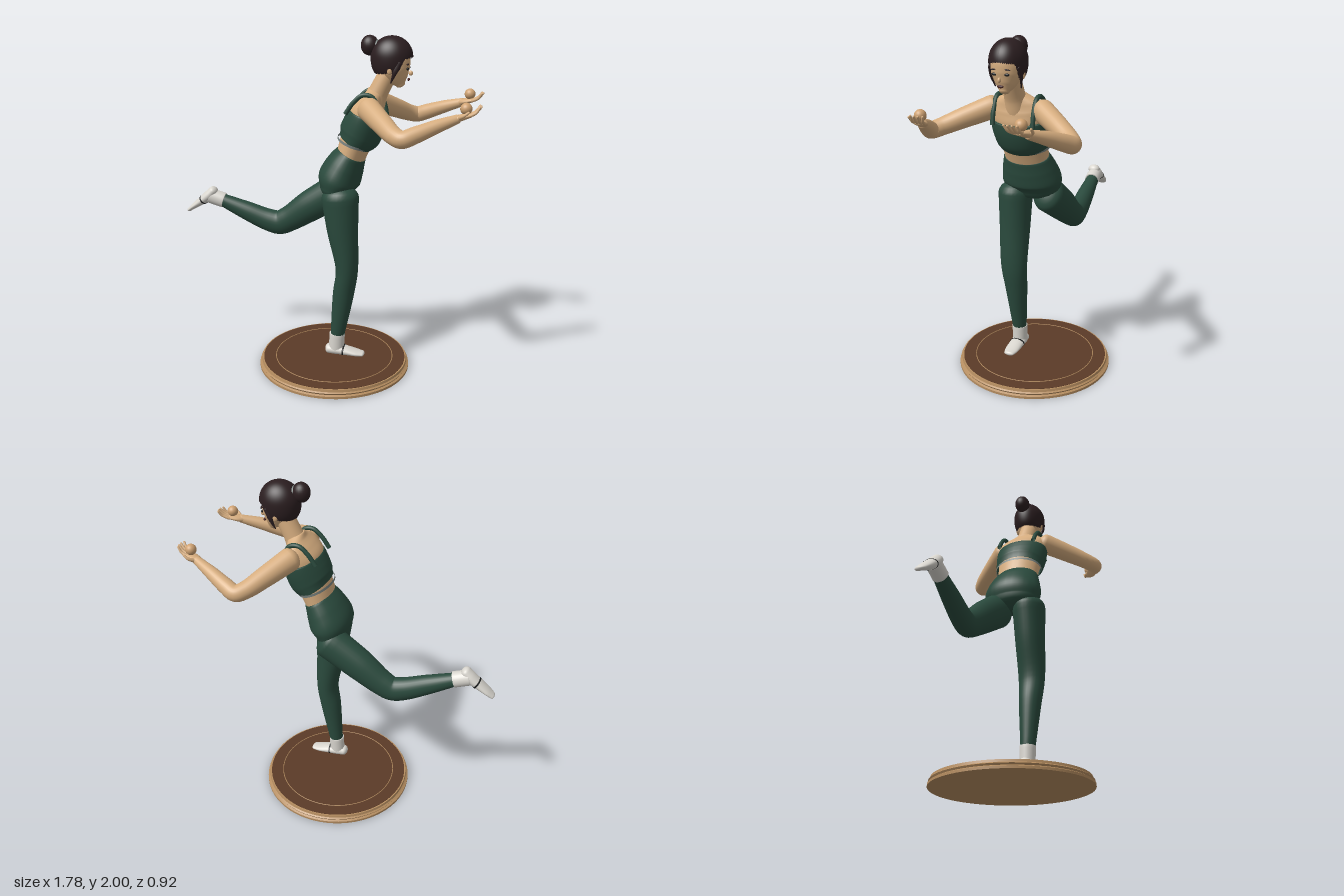
import * as THREE from 'three';

const mat = (name, color, side = THREE.FrontSide) => {
  const m = new THREE.MeshStandardMaterial({ color, side });
  m.name = name;
  return m;
};

// Smooth skin over elliptical sections [x, y, z, a, b]; b is the half width towards z.
// capA and capB give the roundness of each end (0 leaves it flat and open).
function loft(sections, capA = 0, capB = 0, sides = 28) {
  const centre = new THREE.CatmullRomCurve3(sections.map(s => new THREE.Vector3(s[0], s[1], s[2])));
  const size = new THREE.CatmullRomCurve3(sections.map(s => new THREE.Vector3(s[3], s[4], 0)));
  const steps = (sections.length - 1) * 6;
  const rings = [];
  const addRing = (t, shrink, shift) => {
    const tan = centre.getTangent(t);
    const r = size.getPoint(t);
    const b = new THREE.Vector3(0, 0, 1).addScaledVector(tan, -tan.z).normalize();
    const n = new THREE.Vector3().crossVectors(b, tan);
    const c = centre.getPoint(t).addScaledVector(tan, shift * Math.min(r.x, r.y));
    rings.push({ c, n, b, p: r.x * shrink, q: r.y * shrink });
  };
  const K = 6;
  if (capA) for (let k = K; k > 0; k--) {
    const w = k / K * Math.PI / 2;
    addRing(0, Math.cos(w), -capA * Math.sin(w));
  }
  for (let i = 0; i <= steps; i++) addRing(i / steps, 1, 0);
  if (capB) for (let k = 1; k <= K; k++) {
    const w = k / K * Math.PI / 2;
    addRing(1, Math.cos(w), capB * Math.sin(w));
  }
  const pos = [], idx = [];
  rings.forEach(({ c, n, b, p, q }, i) => {
    for (let j = 0; j < sides; j++) {
      const w = j / sides * Math.PI * 2;
      const v = c.clone().addScaledVector(n, p * Math.cos(w)).addScaledVector(b, q * Math.sin(w));
      pos.push(v.x, v.y, v.z);
      if (i + 1 < rings.length) {
        const k = (j + 1) % sides, A = i * sides, B = A + sides;
        idx.push(A + j, A + k, B + k, A + j, B + k, B + j);
      }
    }
  });
  const g = new THREE.BufferGeometry();
  g.setAttribute('position', new THREE.Float32BufferAttribute(pos, 3));
  g.setIndex(idx);
  g.computeVertexNormals();
  return g;
}

// Cap of hair whose lower edge is high over the face and low at the nape.
function hairCap() {
  const g = new THREE.SphereGeometry(1, 64, 32);
  const p = g.attributes.position, uv = g.attributes.uv;
  for (let i = 0; i < p.count; i++) {
    const ang = uv.getX(i) * Math.PI * 2, c = Math.cos(ang);
    const side = 1 - THREE.MathUtils.smoothstep(c, 0.38, 0.72);
    const edge = THREE.MathUtils.degToRad(90 + 6 * Math.abs(Math.sin(ang)) + 42 * side + 10 * Math.max(0, -c));
    const th = (1 - uv.getY(i)) * edge;
    const r = th > Math.PI / 2 ? Math.sqrt(Math.sin(th)) : Math.sin(th);
    p.setXYZ(i, 0.117 * r * c, 0.115 * Math.cos(th), -0.1 * r * Math.sin(ang));
  }
  g.computeVertexNormals();
  return g;
}

export function createModel() {
  const root = new THREE.Group();
  const skin = mat('skin', 0xd6ad7f), green = mat('green fabric', 0x2a4a3d, THREE.DoubleSide);
  const hair = mat('hair', 0x2b1e20, THREE.DoubleSide), white = mat('white shoe', 0xd9d6cf, THREE.DoubleSide);
  const black = mat('black', 0x1b1d1e, THREE.DoubleSide), grey = mat('grey trim', 0x7b8582, THREE.DoubleSide);
  const brown = mat('dark wood', 0x5b3b27), wood = mat('light wood', 0xb58d60);
  const lipRed = mat('lips', 0x4a2522), ballTan = mat('ball', 0xcfa272);

  const add = (name, geo, material, parent = root) => {
    const m = new THREE.Mesh(geo, material);
    m.name = name;
    parent.add(m);
    return m;
  };
  const blob = (name, material, x, y, z, rx, ry, rz) => {
    const m = add(name, new THREE.SphereGeometry(1, 24, 16), material);
    m.position.set(x, y, z);
    m.scale.set(rx, ry, rz);
    return m;
  };

  // Round base with stepped rim, dark top and inlaid ring
  const base = new THREE.Group();
  base.name = 'base';
  base.position.x = 0.07;
  root.add(base);
  const rim = [[0, 0], [0.46, 0], [0.46, 0.014], [0.449, 0.02], [0.455, 0.03], [0.447, 0.036], [0.444, 0.05], [0.43, 0.05]];
  // Doubled points keep the rim edges crisp
  const rimPts = rim.flatMap(([x, y]) => [new THREE.Vector2(x, y), new THREE.Vector2(x, y + 1e-5)]);
  add('baseRim', new THREE.LatheGeometry(rimPts, 80), wood, base);
  add('baseTop', new THREE.CylinderGeometry(0.436, 0.436, 0.02, 80), brown, base).position.y = 0.042;
  const inlay = add('baseInlay', new THREE.TorusGeometry(0.36, 0.0025, 6, 80), wood, base);
  inlay.rotation.x = Math.PI / 2;
  inlay.position.y = 0.052;

  // Legs and hips
  add('pelvis', loft([[0.085, 1.13, 0, 0.1, 0.165], [0.1, 1.19, 0, 0.124, 0.178],
    [0.135, 1.27, 0, 0.11, 0.16], [0.17, 1.335, 0, 0.086, 0.137]], 0.6, 0.05), green);
  add('standingLeg', loft([[0.12, 1.09, 0.095, 0.108, 0.098], [0.135, 0.9, 0.094, 0.091, 0.09],
    [0.162, 0.65, 0.09, 0.065, 0.079], [0.142, 0.5, 0.086, 0.063, 0.066],
    [0.107, 0.23, 0.083, 0.042, 0.042]], 0.75, 0.05), green);
  add('raisedLeg', loft([[0.08, 1.09, -0.095, 0.105, 0.09], [-0.1, 0.975, -0.103, 0.096, 0.083],
    [-0.23, 0.885, -0.11, 0.08, 0.068], [-0.3, 0.852, -0.111, 0.075, 0.061], [-0.37, 0.864, -0.108, 0.07, 0.058],
    [-0.5, 0.915, -0.1, 0.059, 0.052], [-0.67, 0.985, -0.09, 0.038, 0.038]], 0.7, 0.05), green);

  // Shoes with ankle cuffs and straps
  add('standingSock', loft([[0.1, 0.13, 0.083, 0.046, 0.043], [0.105, 0.235, 0.083, 0.047, 0.046]], 0.1, 0.05), white);
  add('raisedSock', loft([[-0.735, 1.005, -0.083, 0.047, 0.044], [-0.65, 0.978, -0.09, 0.047, 0.046]], 0.3, 0.05), white);
  const foot = (name, x, y, z, turn) => {
    const f = new THREE.Group();
    f.name = name;
    f.position.set(x, y, z);
    f.rotation.z = turn;
    root.add(f);
    add('shoe', loft([[-0.045, 0.03, 0, 0.029, 0.037], [0, 0.032, 0, 0.032, 0.044], [0.06, 0.026, 0, 0.026, 0.044],
      [0.12, 0.018, 0, 0.018, 0.042], [0.16, 0.014, 0, 0.013, 0.032]], 0.8, 1), white, f);
    add('shoeStrap', loft([[0.04, 0.029, 0, 0.03, 0.047], [0.05, 0.028, 0, 0.029, 0.047]]), black, f);
  };
  foot('standingFoot', 0.1, 0.1, 0.083, 0);
  foot('raisedFoot', -0.765, 1.03, -0.08, THREE.MathUtils.degToRad(223));

  // Torso, top and neck
  add('torso', loft([[0.16, 1.31, 0, 0.083, 0.13], [0.195, 1.41, 0, 0.092, 0.135], [0.235, 1.5, 0, 0.1, 0.15],
    [0.255, 1.57, 0, 0.102, 0.16], [0.275, 1.625, 0, 0.078, 0.16], [0.29, 1.665, 0, 0.055, 0.125],
    [0.3, 1.7, 0, 0.045, 0.055]], 0.05, 0.1), skin);
  add('cropTop', loft([[0.188, 1.405, 0, 0.1, 0.147], [0.215, 1.45, 0, 0.122, 0.158], [0.24, 1.51, 0, 0.121, 0.166],
    [0.257, 1.565, 0, 0.109, 0.167], [0.258, 1.568, 0, 0.09, 0.14]]), green);
  add('topBand', loft([[0.185, 1.395, 0, 0.103, 0.149], [0.19, 1.409, 0, 0.105, 0.151]]), grey);
  add('neck', loft([[0.285, 1.62, 0, 0.07, 0.068], [0.315, 1.69, 0, 0.056, 0.058], [0.375, 1.81, 0, 0.052, 0.055]]), skin);

  // Head and face
  add('head', loft([[0.437, 1.735, 0, 0.026, 0.028], [0.424, 1.765, 0, 0.056, 0.053], [0.408, 1.81, 0, 0.082, 0.078],
    [0.395, 1.87, 0, 0.093, 0.087], [0.385, 1.93, 0, 0.075, 0.07]], 0.6, 0.5), skin);
  add('hair', hairCap(), hair).position.set(0.385, 1.885, 0);
  blob('hairBun', hair, 0.262, 1.945, 0, 0.05, 0.056, 0.047);
  const tie = add('hairTie', new THREE.TorusGeometry(0.03, 0.009, 10, 28), grey);
  tie.position.set(0.302, 1.94, 0);
  tie.rotation.set(0, Math.PI / 2, 0);
  blob('nose', skin, 0.492, 1.798, 0, 0.012, 0.014, 0.009);
  blob('lips', lipRed, 0.481, 1.764, 0, 0.007, 0.008, 0.018);

  for (const s of [1, -1]) {
    const side = s > 0 ? 'Right' : 'Left';
    blob('eye' + side, black, 0.478, 1.825, s * 0.036, 0.007, 0.008, 0.014);
    const brow = blob('brow' + side, hair, 0.478, 1.85, s * 0.038, 0.007, 0.004, 0.02);
    brow.rotation.x = s * 0.15;
    blob('ear' + side, skin, 0.385, 1.82, s * 0.082, 0.016, 0.026, 0.012);
    add('sideLock' + side, loft([[0.435, 1.86, s * 0.083, 0.015, 0.008], [0.415, 1.81, s * 0.085, 0.013, 0.008],
      [0.392, 1.75, s * 0.075, 0.003, 0.003]], 1, 1, 12), hair);

    // Shoulder strap
    const path = [[0.352, 1.53], [0.335, 1.61], [0.295, 1.678], [0.245, 1.685], [0.195, 1.645], [0.15, 1.58]];
    const curve = new THREE.CatmullRomCurve3(path.map(([x, y]) => new THREE.Vector3(x, y, s * 0.118)));
    add('strap' + side, new THREE.TubeGeometry(curve, 40, 0.013, 10), green);

    // Arm
    add('arm' + side, loft([[0.285, 1.615, s * 0.15, 0.066, 0.062], [0.38, 1.56, s * 0.28, 0.057, 0.055],
      [0.455, 1.518, s * 0.375, 0.049, 0.048], [0.5, 1.507, s * 0.404, 0.047, 0.046], [0.56, 1.528, s * 0.385, 0.045, 0.044],
      [0.66, 1.567, s * 0.34, 0.037, 0.037], [0.77, 1.605, s * 0.29, 0.024, 0.025]], 0.8, 0.5), skin);

    // Open hand holding a ball
    add('palm' + side, loft([[0.755, 1.602, s * 0.296, 0.021, 0.025], [0.79, 1.612, s * 0.281, 0.017, 0.034],
      [0.83, 1.622, s * 0.267, 0.012, 0.034]], 0.5, 0.8), skin);
    for (let k = -1.5; k < 2; k++) {
      const z = s * (0.266 + k * 0.017), e = s * (0.25 + k * 0.023);
      add('finger' + side, loft([[0.825, 1.62, z, 0.009, 0.009], [0.86, 1.638, (z + e) / 2, 0.008, 0.008],
        [0.889 - Math.abs(k) * 0.007, 1.665, e, 0.006, 0.006]], 1, 1, 10), skin);
    }
    add('thumb' + side, loft([[0.775, 1.61, s * 0.305, 0.011, 0.011], [0.8, 1.625, s * 0.326, 0.009, 0.009],
      [0.825, 1.645, s * 0.33, 0.006, 0.006]], 1, 1, 10), skin);
    blob('ball' + side, ballTan, 0.81, 1.656, s * 0.272, 0.031, 0.031, 0.031);
  }
  return root;
}
